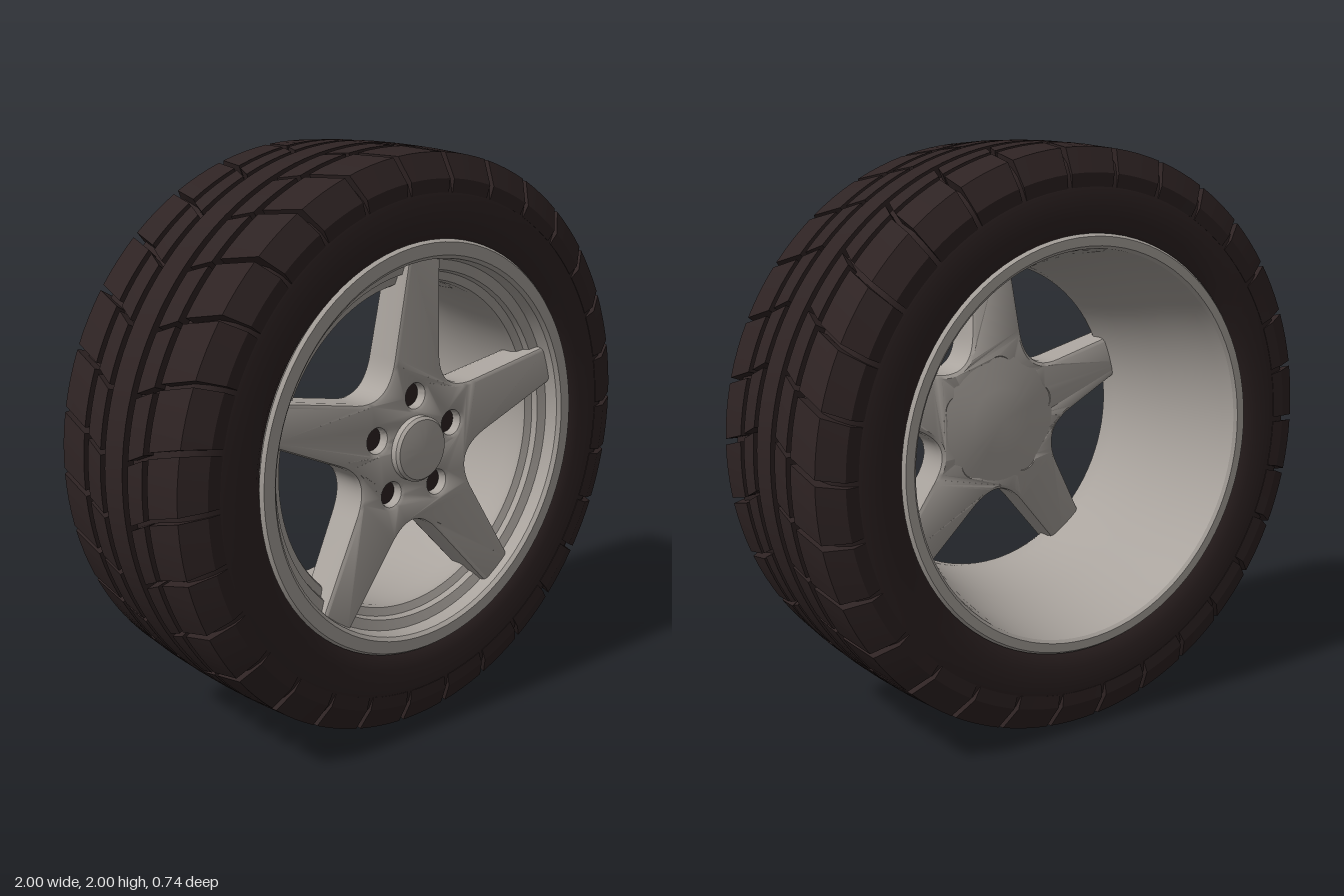
import * as THREE from 'three';
import { mergeGeometries, toCreasedNormals } from 'three/addons/utils/BufferGeometryUtils.js';

const rubber = new THREE.MeshStandardMaterial({ color: 0x2e2323, side: THREE.DoubleSide });
rubber.name = 'rubber';
const alloy = new THREE.MeshStandardMaterial({ color: 0xaaa49e, side: THREE.DoubleSide });
alloy.name = 'alloy';

const V2 = (p) => new THREE.Vector2(p[0], p[1]);

// Profile of [radius, z] pairs turned around the z axis
function turned(profile, segments = 90) {
  const g = new THREE.LatheGeometry(profile.map(V2), segments);
  g.rotateX(Math.PI / 2);
  return toCreasedNormals(g, 0.5);
}

// Tread blocks: a [z, radius] profile swept round part of the wheel, repeated
const BLOCKS = 30, PITCH = (Math.PI * 2) / BLOCKS;
function treadRow(profile, gap, skew, offset) {
  const sweep = PITCH - gap;
  const block = new THREE.ExtrudeGeometry(new THREE.Shape(profile.map(V2)),
    { depth: sweep, steps: 4, bevelEnabled: false });
  const p = block.attributes.position;
  for (let i = 0; i < p.count; i++) {
    const z = p.getX(i), r = p.getY(i);
    const a = p.getZ(i) + offset - skew * Math.abs(z);
    p.setXYZ(i, -r * Math.sin(a), r * Math.cos(a), z);
  }
  const base = toCreasedNormals(block, 0.3);
  const copies = [];
  for (let k = 0; k < BLOCKS; k++) copies.push(base.clone().rotateZ(k * PITCH));
  return mergeGeometries(copies);
}

// Five-spoke star outline with lug holes
function starShape() {
  const shape = new THREE.Shape();
  const at = (k, u, v) => {
    const a = Math.PI / 2 + (k * Math.PI * 2) / 5, c = Math.cos(a), s = Math.sin(a);
    return [u * c - v * s, u * s + v * c];
  };
  for (let k = 0; k < 5; k++) {
    if (k === 0) shape.moveTo(...at(0, 0.32, -0.089));
    shape.lineTo(...at(k, 0.65, -0.055));
    shape.lineTo(...at(k, 0.65, 0.055));
    shape.lineTo(...at(k, 0.32, 0.089));
    shape.quadraticCurveTo(...at(k, 0.1465, 0.1065), ...at(k + 1, 0.32, -0.089));
    const hole = new THREE.Path();
    hole.absarc(...at(k, 0.18, 0), 0.057, 0, Math.PI * 2, true);
    shape.holes.push(hole);
  }
  return shape;
}

function starGeometry() {
  const depth = 0.1, t = 0.025;
  const g = new THREE.ExtrudeGeometry(starShape(), {
    depth, bevelEnabled: true, bevelThickness: t, bevelSize: 0.016, bevelSegments: 2, curveSegments: 16,
  });
  // Spokes rise towards the rim on both faces
  const p = g.attributes.position;
  for (let i = 0; i < p.count; i++) {
    const k = Math.max(0, Math.hypot(p.getX(i), p.getY(i)) - 0.25) / 0.4;
    const s = (p.getZ(i) + t) / (depth + 2 * t);
    p.setZ(i, THREE.MathUtils.lerp(0.16 + 0.05 * k, 0.3 + 0.035 * k, s));
  }
  return toCreasedNormals(g, 0.6);
}

export function createModel() {
  const wheel = new THREE.Group();
  wheel.name = 'wheel';
  const add = (name, geometry, material) => {
    const m = new THREE.Mesh(geometry, material);
    m.name = name;
    wheel.add(m);
    return m;
  };

  // Tyre body with both sidewalls
  const side = [[0.69, 0.33], [0.715, 0.35], [0.77, 0.364], [0.85, 0.364],
    [0.9, 0.352], [0.935, 0.33], [0.96, 0.29]];
  add('tyreBody', turned([...side.map(([r, z]) => [r, -z]), ...side.slice().reverse()]), rubber);

  // Centre rib
  add('centreRib', turned([[0.95, -0.05], [1, -0.05], [1, 0.05], [0.95, 0.05]], 120), rubber);

  // Inner and shoulder blocks, mirrored front and back
  const inner = [[0.078, 0.95], [0.155, 0.95], [0.155, 0.997], [0.078, 0.999]];
  const shoulder = [[0.182, 0.95], [0.182, 0.996], [0.325, 0.986], [0.366, 0.905],
    [0.364, 0.86], [0.33, 0.87], [0.28, 0.94]];
  for (const [s, name] of [[1, 'front'], [-1, 'back']]) {
    const flip = (pts) => pts.map(([z, r]) => [s * z, r]);
    add(name + 'InnerBlocks', treadRow(flip(inner), 0.016, 0.45, 0.05), rubber);
    add(name + 'ShoulderBlocks', treadRow(flip(shoulder), 0.02, 0.28, 0.02), rubber);
  }

  // Rim: front lip, step, tapering barrel and back lip
  add('rim', turned([
    [0.69, 0.33], [0.712, 0.36], [0.703, 0.372], [0.66, 0.372], [0.648, 0.36], [0.64, 0.315],
    [0.605, 0.305], [0.598, 0.285], [0.57, 0.275], [0.563, 0.26], [0.565, 0.2], [0.575, 0.1],
    [0.598, -0.04], [0.632, -0.18], [0.652, -0.31], [0.662, -0.362], [0.672, -0.372],
    [0.703, -0.372], [0.712, -0.36], [0.69, -0.33],
  ]), alloy);

  // Spokes, closed hub back and centre cap
  add('spokes', starGeometry(), alloy);
  add('hubBack', turned([[0, 0.135], [0.12, 0.145], [0.235, 0.162], [0.235, 0.18]], 60), alloy);
  add('centreCap', turned([[0.113, 0.27], [0.113, 0.322], [0.104, 0.332], [0.06, 0.338], [0, 0.34]], 48), alloy);

  // Dark floors of the lug holes
  for (let k = 0; k < 5; k++) {
    const a = Math.PI / 2 + (k * Math.PI * 2) / 5;
    const floor = add('lugHole', new THREE.CircleGeometry(0.046, 24), rubber);
    floor.position.set(0.18 * Math.cos(a), 0.18 * Math.sin(a), 0.262);
  }

  wheel.children.forEach((m) => { m.position.y += 1; });
  return wheel;
}
